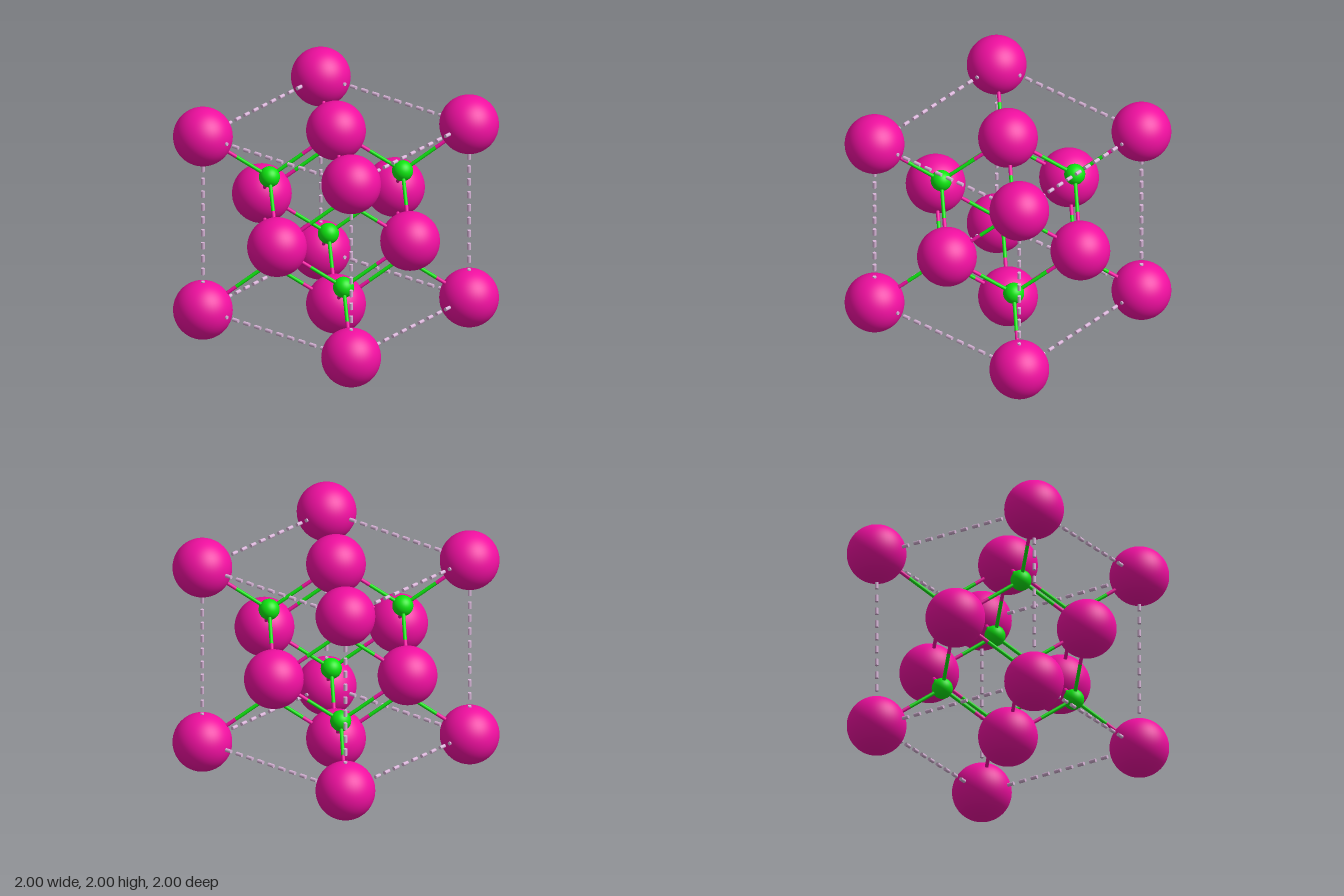
import * as THREE from 'three';

const A = 0.76;       // half the cell edge
const Q = A / 2;      // offset of the small atoms
const BOND_R = 0.015;

const paint = (color) => new THREE.MeshStandardMaterial({ color });

export function createModel() {
  const model = new THREE.Group();
  const magenta = paint(0xf00fa0);
  const green = paint(0x0ee610);
  const plum = paint(0xd8b4d8);

  const largeGeo = new THREE.SphereGeometry(0.24, 48, 32);
  const smallGeo = new THREE.SphereGeometry(0.085, 32, 24);
  const rodGeo = new THREE.CylinderGeometry(BOND_R, BOND_R, 1, 16);
  const up = new THREE.Vector3(0, 1, 0);

  const group = (name) => {
    const g = new THREE.Group();
    g.name = name;
    model.add(g);
    return g;
  };
  const largeAtoms = group('largeAtoms');
  const smallAtoms = group('smallAtoms');
  const bonds = group('bonds');
  const cellEdges = group('cellEdges');
  model.children.forEach((g) => { g.position.y = 1; });

  function ball(parent, name, geo, material, pos) {
    const mesh = new THREE.Mesh(geo, material);
    mesh.name = name;
    mesh.position.copy(pos);
    parent.add(mesh);
  }

  function rod(parent, name, material, from, to) {
    const dir = to.clone().sub(from);
    const mesh = new THREE.Mesh(rodGeo, material);
    mesh.name = name;
    mesh.position.copy(from).add(to).multiplyScalar(0.5);
    mesh.scale.y = dir.length();
    mesh.quaternion.setFromUnitVectors(up, dir.normalize());
    parent.add(mesh);
  }

  // Large atoms on the corners and face centres, small ones in the eight octants
  const large = [];
  const small = [];
  for (const x of [-1, 0, 1]) for (const y of [-1, 0, 1]) for (const z of [-1, 0, 1]) {
    const sum = Math.abs(x) + Math.abs(y) + Math.abs(z);
    if (sum % 2 === 1) large.push(new THREE.Vector3(x, y, z).multiplyScalar(A));
    if (sum === 3) small.push(new THREE.Vector3(x, y, z).multiplyScalar(Q));
  }
  large.forEach((p) => ball(largeAtoms, 'largeAtom', largeGeo, magenta, p));
  small.forEach((p) => ball(smallAtoms, 'smallAtom', smallGeo, green, p));

  // Two-coloured bonds from each small atom to its four nearest large atoms
  for (const s of small) {
    for (const l of large) {
      if (s.distanceTo(l) > A) continue;
      const mid = s.clone().lerp(l, 0.5);
      rod(bonds, 'smallAtomBondHalf', green, s, mid);
      rod(bonds, 'largeAtomBondHalf', magenta, mid, l);
    }
  }

  // Dashed cell edges, four along each axis; dashes along z run front to back
  const pitch = 0.113;
  const dash = 0.056;
  const axes = [['x', 'y', 'z', 1], ['y', 'x', 'z', 1], ['z', 'x', 'y', -1]];
  for (const [along, u, v, sign] of axes) {
    for (const su of [-A, A]) for (const sv of [-A, A]) {
      for (let k = -5; k <= 4; k++) {
        const from = new THREE.Vector3();
        from[u] = su;
        from[v] = sv;
        const to = from.clone();
        from[along] = sign * k * pitch;
        to[along] = sign * (k * pitch + dash);
        rod(cellEdges, 'edgeDash', plum, from, to);
      }
    }
  }
  return model;
}
